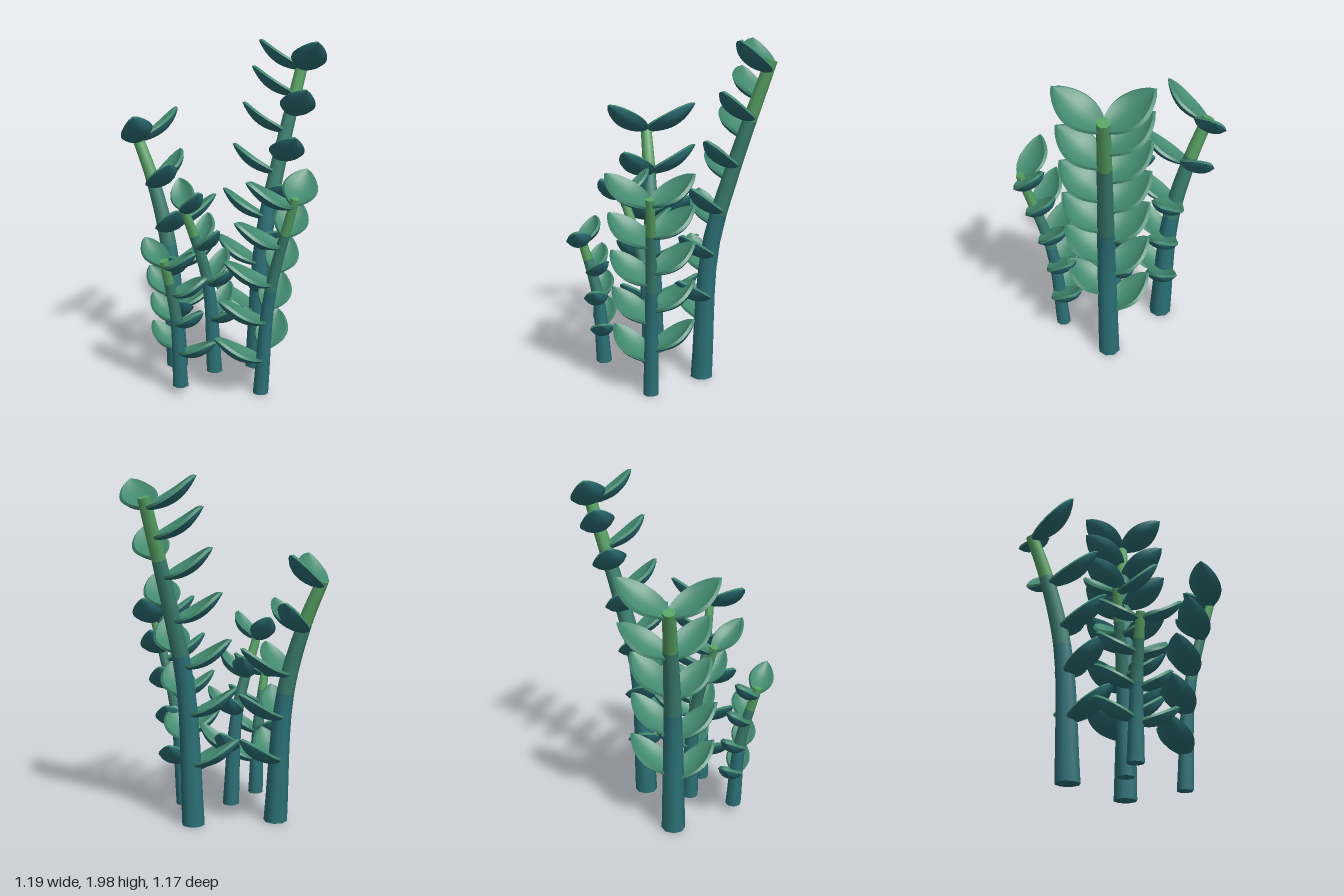
import * as THREE from 'three';

const { lerp } = THREE.MathUtils;
const UP = new THREE.Vector3(0, 1, 0);

const mat = (name, color) => Object.assign(new THREE.MeshStandardMaterial({ color }), { name });
const teal = mat('deep teal', 0x2c7278);
const green = mat('fresh green', 0x56a062);
const leafGreen = mat('leaf green', 0x42886f);
const stemGreen = mat('stem sea green', 0x3a7e6e);

function addMesh(parent, name, geometry, material) {
  const mesh = new THREE.Mesh(geometry, material);
  mesh.name = name;
  parent.add(mesh);
}

// Grid surface from a function of (a, b), each 0..1
function surface(f, na, nb) {
  const pos = [], idx = [];
  for (let i = 0; i <= na; i++)
    for (let j = 0; j <= nb; j++) pos.push(...f(i / na, j / nb));
  for (let i = 0; i < na; i++)
    for (let j = 0; j < nb; j++) {
      const p = i * (nb + 1) + j, q = p + nb + 1;
      idx.push(p, q, p + 1, p + 1, q, q + 1);
    }
  const g = new THREE.BufferGeometry();
  g.setAttribute('position', new THREE.Float32BufferAttribute(pos, 3));
  g.setIndex(idx);
  g.computeVertexNormals();
  return g;
}

// Thick cupped leaf growing along +z: green top and bevelled rim, teal underside
function makeLeaf(length, halfWidth) {
  const point = (t, u, under) => {
    const w = Math.max(0, Math.sin(Math.PI * (0.06 + 0.94 * t))) ** 0.76;
    const x = halfWidth * w * u * (under ? 1.03 : 0.9);
    let y = -0.09 * length * Math.sin(Math.PI * t) + 0.024 * w * u * u;
    if (under) y -= 0.014 + 0.022 * w * (1 - u ** 4);
    return [x, y, length * t * (under ? 1 : 0.96)];
  };
  const rim = (s, v) => (s < 0.5 ? point(2 * s, 1, v > 0.5) : point(2 - 2 * s, -1, v > 0.5));
  const leaf = new THREE.Group();
  leaf.name = 'leaf';
  addMesh(leaf, 'leafTop', surface((a, b) => point(a, 2 * b - 1, false), 12, 6), leafGreen);
  addMesh(leaf, 'leafUnderside', surface((a, b) => point(a, 1 - 2 * b, true), 12, 8), teal);
  addMesh(leaf, 'leafRim', surface(rim, 24, 1), leafGreen);
  return leaf;
}

// Tapered length of stem between two fractions of the curve
function stemGeometry(curve, [r0, r1], from, to) {
  const g = new THREE.CylinderGeometry(1, 1, 1, 8, 6);
  const p = g.attributes.position, n = g.attributes.normal;
  const v = new THREE.Vector3(), q = new THREE.Quaternion();
  for (let i = 0; i < p.count; i++) {
    const t = lerp(from, to, p.getY(i) + 0.5);
    const r = lerp(r0, r1, t);
    // the foot stays level on the ground
    if (t > 0) q.setFromUnitVectors(UP, curve.getTangentAt(t));
    else q.identity();
    v.set(p.getX(i) * r, 0, p.getZ(i) * r).applyQuaternion(q).add(curve.getPointAt(t));
    p.setXYZ(i, v.x, v.y, v.z);
    v.fromBufferAttribute(n, i).applyQuaternion(q);
    n.setXYZ(i, v.x, v.y, v.z);
  }
  return g;
}

// Fraction along the stem at a given height
function fractionAtHeight(curve, y) {
  let a = 0, b = 1;
  for (let i = 0; i < 24; i++) {
    const m = (a + b) / 2;
    if (curve.getPointAt(m).y < y) a = m;
    else b = m;
  }
  return a;
}

// Row of leaves down the stem, from height high to low; dirs are (x, z) reaches from top to bottom
function addLeafRow(plant, curve, width, rise, { high, low, count, ease = 1, dirs }) {
  for (let i = 0; i < count; i++) {
    const s = i / (count - 1);
    const d = s * (dirs.length - 1);
    const d0 = dirs[Math.floor(d)], d1 = dirs[Math.ceil(d)];
    const dir = new THREE.Vector3(lerp(d0[0], d1[0], d % 1), rise, lerp(d0[1], d1[1], d % 1));
    const leaf = makeLeaf(dir.length(), width);
    // the leaf rolls with the lean of its stem
    const t = fractionAtHeight(curve, lerp(high, low, s ** ease));
    const f = dir.normalize();
    const x = new THREE.Vector3().crossVectors(curve.getTangentAt(t), f).normalize();
    const y = new THREE.Vector3().crossVectors(f, x);
    leaf.quaternion.setFromRotationMatrix(new THREE.Matrix4().makeBasis(x, y, f));
    leaf.position.copy(curve.getPointAt(t));
    plant.add(leaf);
  }
}

// Stem in three colours with two rows of leaves
function makePlant(name, { radii, path, width, rise, rows }) {
  const plant = new THREE.Group();
  plant.name = name;
  const curve = new THREE.CatmullRomCurve3(path.map((p) => new THREE.Vector3(...p)));
  addMesh(plant, 'lowerStem', stemGeometry(curve, radii, 0, 0.53), teal);
  addMesh(plant, 'middleStem', stemGeometry(curve, radii, 0.53, 0.82), stemGreen);
  addMesh(plant, 'upperStem', stemGeometry(curve, radii, 0.82, 1), green);
  rows.forEach((row) => addLeafRow(plant, curve, width, rise, row));
  return plant;
}

export function createModel() {
  const model = new THREE.Group();
  model.name = 'succulentCluster';

  model.add(makePlant('tallPlant', {
    radii: [0.068, 0.036], width: 0.1, rise: 0.17,
    path: [[0.17, 0, -0.17], [0.2, 0.8, -0.205], [0.255, 1.25, -0.31], [0.35, 1.87, -0.49]],
    rows: [
      { high: 1.82, low: 0.36, count: 7, ease: 1.25, dirs: [[-0.27, -0.02], [-0.28, 0.01]] },
      { high: 1.82, low: 0.5, count: 6, dirs: [[0.16, 0.23], [0.155, 0.21]] },
    ],
  }));

  model.add(makePlant('leftPlant', {
    radii: [0.07, 0.035], width: 0.095, rise: 0.18,
    path: [[-0.29, 0, -0.01], [-0.34, 0.75, -0.015], [-0.45, 1.17, -0.03], [-0.55, 1.42, -0.04]],
    rows: [
      { high: 1.4, low: 0.37, count: 5, dirs: [[0.13, -0.28], [0.06, -0.28], [0.24, -0.23], [0.21, -0.23], [0.18, -0.24]] },
      { high: 1.4, low: 0.34, count: 5, dirs: [[0.1, 0.27], [0.19, 0.22], [0.17, 0.22], [0.1, 0.25], [0.14, 0.24]] },
    ],
  }));

  model.add(makePlant('rightPlant', {
    radii: [0.046, 0.025], width: 0.095, rise: 0.16,
    path: [[0.32, 0, 0.19], [0.37, 0.6, 0.2], [0.52, 1.18, 0.25]],
    rows: [
      { high: 1.15, low: 0.28, count: 5, ease: 1.12, dirs: [[0.01, -0.24], [0.01, -0.25]] },
      { high: 1.14, low: 0.21, count: 5, dirs: [[-0.2, 0.19], [-0.24, 0.15]] },
    ],
  }));

  model.add(makePlant('middlePlant', {
    radii: [0.05, 0.025], width: 0.07, rise: 0.15,
    path: [[0, 0.05, 0.1], [-0.035, 0.62, 0.122], [-0.14, 1.08, 0.225]],
    rows: [
      { high: 1.06, low: 0.4, count: 4, dirs: [[-0.11, -0.18], [0.02, -0.25], [0.03, -0.24]] },
      { high: 1.06, low: 0.38, count: 4, dirs: [[0.15, 0.18], [0.22, 0.08]] },
    ],
  }));

  model.add(makePlant('smallPlant', {
    radii: [0.047, 0.025], width: 0.07, rise: 0.12,
    path: [[-0.11, 0.05, 0.36], [-0.12, 0.48, 0.393], [-0.15, 0.83, 0.48]],
    rows: [
      { high: 0.8, low: 0.28, count: 4, dirs: [[-0.18, -0.12], [-0.2, -0.09]] },
      { high: 0.8, low: 0.26, count: 4, dirs: [[0.21, 0.09], [0.2, -0.02], [0.18, 0.07], [0.24, 0.05]] },
    ],
  }));

  return model;
}
